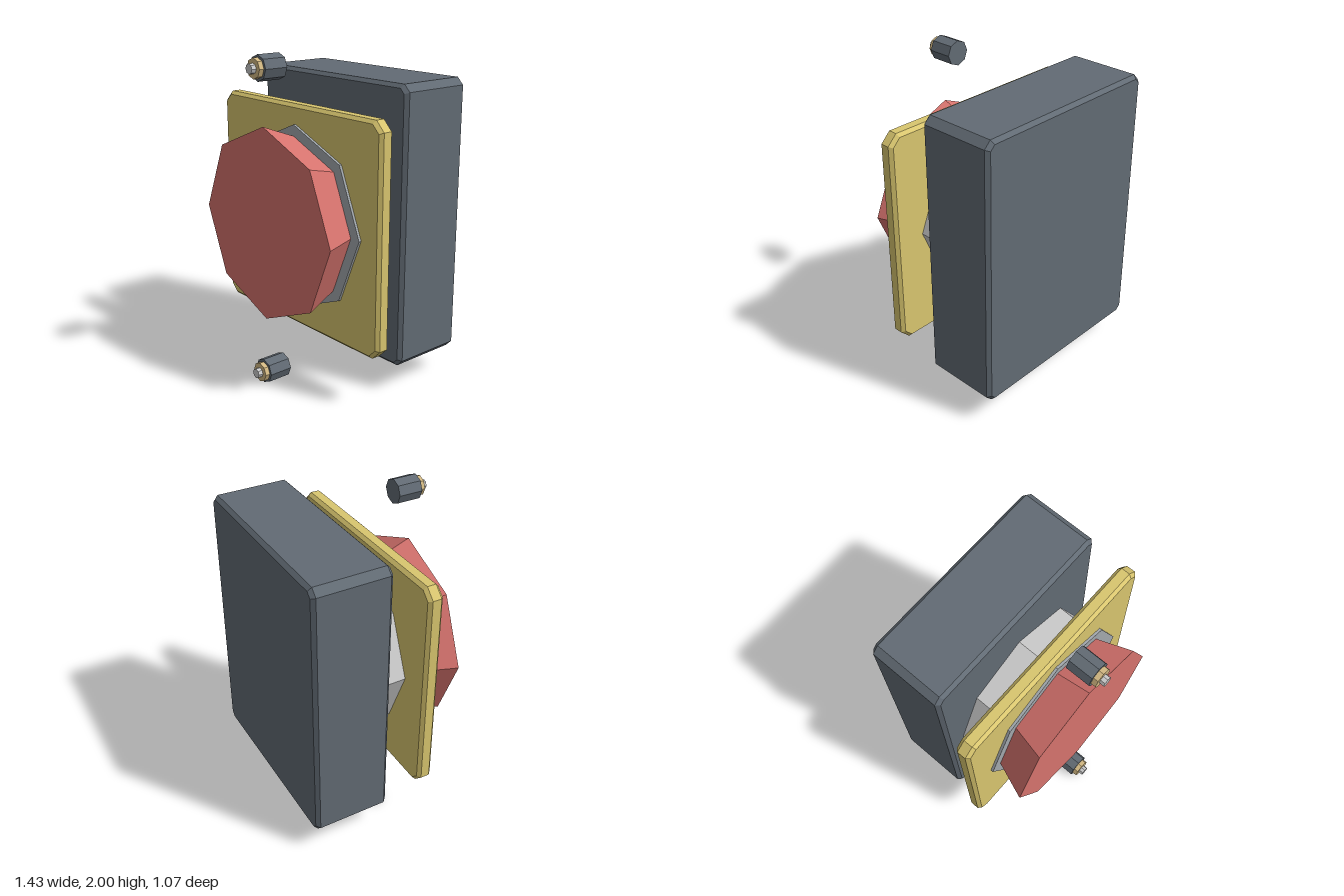
import * as THREE from 'three';

const COLORS = { dark: 0x626b74, yellow: 0xd9c66f, red: 0xd6736e, light: 0xcccccc, ring: 0xa3a9ae, tan: 0xd3b983 };

function mesh(name, geometry, color) {
  const material = new THREE.MeshStandardMaterial({ color, flatShading: true });
  const m = new THREE.Mesh(geometry, material);
  m.name = name;
  return m;
}

// Slab with cut corners and a chamfer around the front and back faces
function chamferedSlab(name, width, height, z0, z1, cut, bevel, color) {
  const w = width / 2 - bevel, h = height / 2 - bevel;
  const c = cut - bevel * 0.59;
  const shape = new THREE.Shape([
    [w - c, -h], [w, -h + c], [w, h - c], [w - c, h],
    [-w + c, h], [-w, h - c], [-w, -h + c], [-w + c, -h],
  ].map(([x, y]) => new THREE.Vector2(x, y)));
  const geometry = new THREE.ExtrudeGeometry(shape, {
    depth: z1 - z0 - 2 * bevel, bevelEnabled: true,
    bevelThickness: bevel, bevelSize: bevel, bevelSegments: 1,
  });
  geometry.translate(0, 0, z0 + bevel);
  return mesh(name, geometry, color);
}

// Eight-sided drum along z, with its own back and front radius
function octagon(name, backRadius, frontRadius, z0, z1, color) {
  const geometry = new THREE.CylinderGeometry(frontRadius, backRadius, z1 - z0, 8);
  geometry.rotateX(Math.PI / 2).translate(0, 0, (z0 + z1) / 2);
  return mesh(name, geometry, color);
}

// Bolt made of a dark barrel, a collar and a tip
function bolt(name, y) {
  const g = new THREE.Group();
  g.name = name;
  g.add(
    octagon('barrel', 0.076, 0.076, 0.325, 0.475, COLORS.dark),
    octagon('collar', 0.06, 0.06, 0.475, 0.505, COLORS.tan),
    octagon('tip', 0.03, 0.03, 0.505, 0.535, COLORS.light),
  );
  g.position.y = y;
  return g;
}

export function createModel() {
  const model = new THREE.Group();
  model.name = 'pushButtonUnit';

  // Rear housing and front plate
  const housing = chamferedSlab('housing', 1.275, 1.69, -0.535, -0.055, 0.042, 0.022, COLORS.dark);
  const plate = chamferedSlab('facePlate', 1.435, 1.38, 0.115, 0.21, 0.06, 0.02, COLORS.yellow);
  housing.position.y = 1.005;
  plate.position.y = 1.003;
  model.add(housing, plate);

  // Button stack
  const button = new THREE.Group();
  button.name = 'button';
  button.position.y = 1.003;
  button.add(
    octagon('neck', 0.523, 0.523, -0.06, 0.12, COLORS.light),
    octagon('collarRing', 0.573, 0.573, 0.2, 0.226, COLORS.ring),
    octagon('buttonCap', 0.505, 0.588, 0.226, 0.448, COLORS.red),
  );
  model.add(button);

  // Small spacer below the neck
  const spacer = octagon('spacer', 0.047, 0.047, 0.055, 0.09, COLORS.light);
  spacer.position.y = 0.377;
  model.add(spacer);

  // Upper and lower bolts
  model.add(bolt('upperBolt', 1.924), bolt('lowerBolt', 0.076));
  return model;
}
